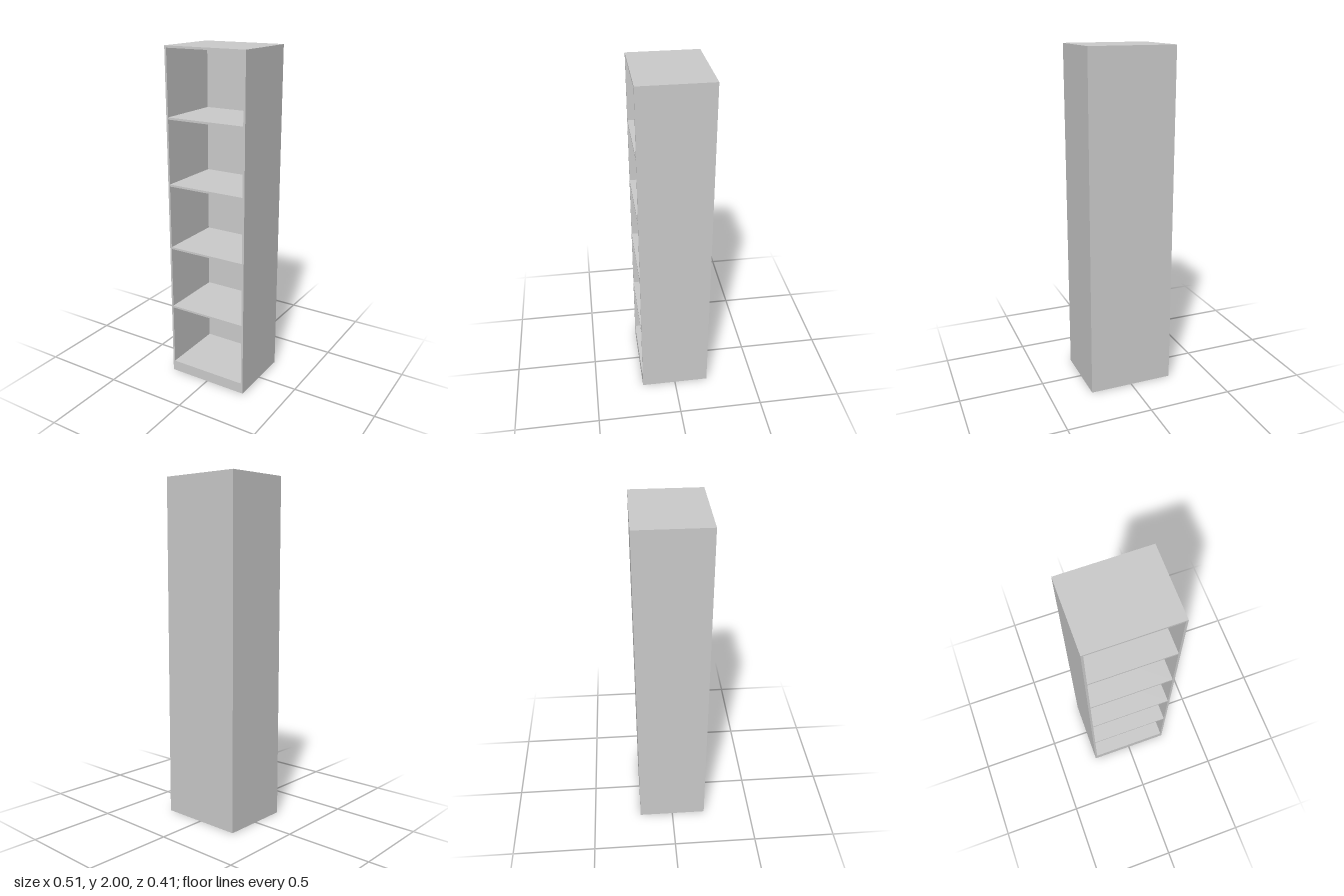
import * as THREE from 'three';

const W = 0.506, H = 2, D = 0.412; // overall size
const T = 0.012;                   // board thickness
const PLINTH = 0.066;              // top of the base
const BAYS = 5;

function rectangle(PathType, x0, y0, x1, y1) {
  return new PathType([
    new THREE.Vector2(x0, y0), new THREE.Vector2(x1, y0),
    new THREE.Vector2(x1, y1), new THREE.Vector2(x0, y1),
  ]).closePath();
}

export function createModel() {
  const group = new THREE.Group();
  group.name = 'bookcase';
  const material = new THREE.MeshStandardMaterial({ color: 0xcccccc });

  // Sides, top, shelves and plinth: one frame with an opening per bay
  const outline = rectangle(THREE.Shape, -W / 2, 0, W / 2, H);
  const pitch = (H - PLINTH) / BAYS;
  for (let i = 0; i < BAYS; i++) {
    const y = PLINTH + i * pitch;
    outline.holes.push(rectangle(THREE.Path, -W / 2 + T, y, W / 2 - T, y + pitch - T));
  }
  const frame = new THREE.Mesh(
    new THREE.ExtrudeGeometry(outline, { depth: D - T, bevelEnabled: false }), material);
  frame.name = 'shelfFrame';
  frame.position.z = -D / 2 + T;
  group.add(frame);

  // Back panel closing the bays
  const back = new THREE.Mesh(new THREE.BoxGeometry(W, H, T), material);
  back.name = 'backPanel';
  back.position.set(0, H / 2, -D / 2 + T / 2);
  group.add(back);

  return group;
}
